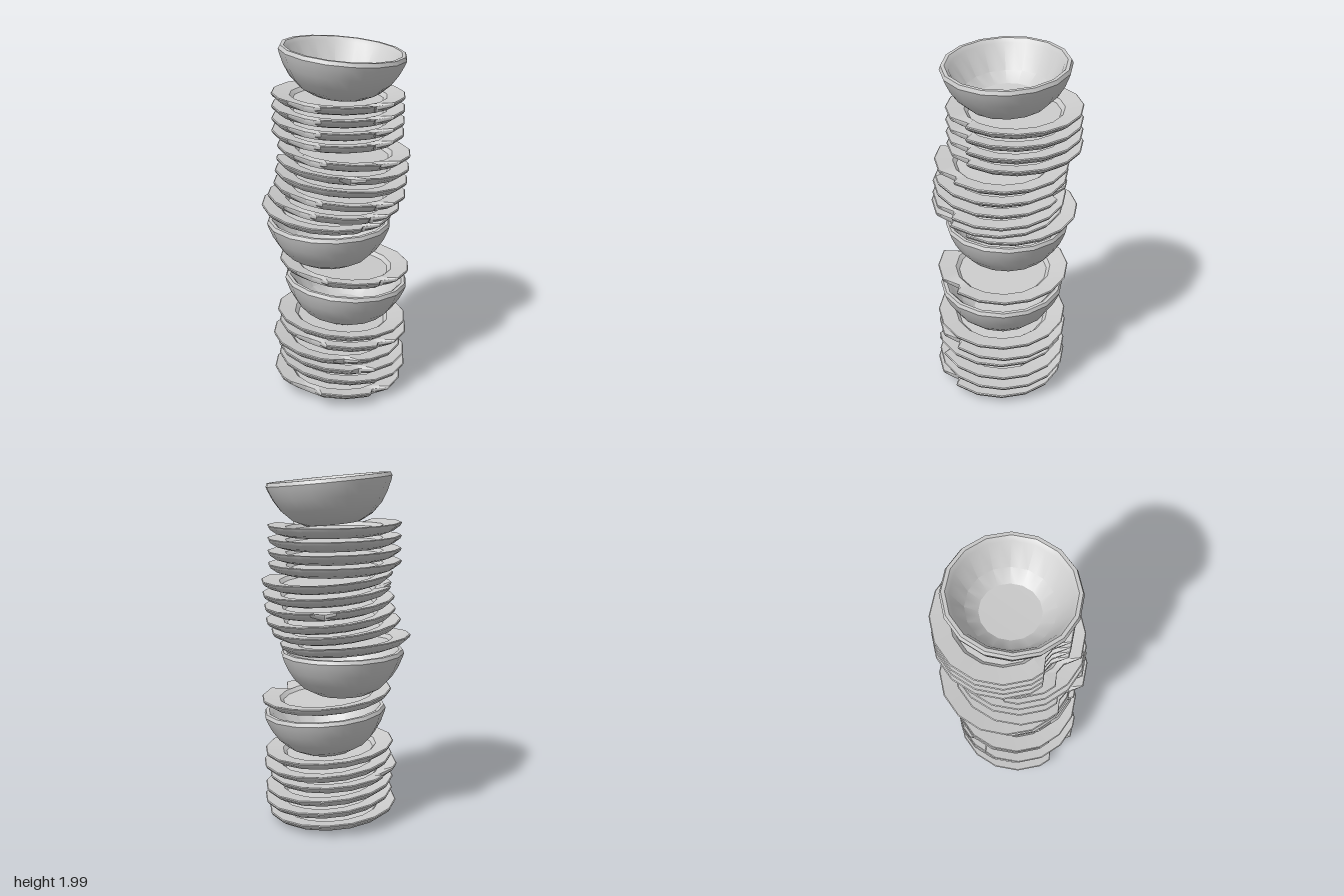
import * as THREE from 'three';
import { toCreasedNormals } from 'three/addons/utils/BufferGeometryUtils.js';

const COLUMNS = 32; // 16 flat sides, each split in the middle so that chips can be narrow
const material = new THREE.MeshStandardMaterial({ color: 0xcccccc });

// Profiles run from the underside centre, out to the rim, and back to the inside centre; rim is at y = 0
const plateProfile = [
  [0, -0.062], [0.275, -0.062], [0.325, -0.046], [0.362, -0.02], [0.371, -0.004],
  [0.366, 0], [0.27, -0.014], [0.25, -0.034], [0, -0.036],
];
const bowlProfile = [
  [0, -0.25], [0.155, -0.25], [0.225, -0.214], [0.28, -0.16], [0.318, -0.1], [0.342, -0.045],
  [0.35, -0.02], [0.341, 0], [0.322, 0], [0.302, -0.02],
  [0.23, -0.15], [0.16, -0.195], [0, -0.2],
];

// Turned dish; each chipped column has its rim broken back and down
function dishGeometry(profile, chips = []) {
  const geo = new THREE.LatheGeometry(profile.map(([r, y]) => new THREE.Vector2(r, y)), COLUMNS);
  const pos = geo.attributes.position;
  for (let i = 0; i < pos.count; i++) {
    const column = Math.floor(i / profile.length) % COLUMNS;
    const [r, y] = profile[i % profile.length];
    const chipped = chips.includes(column) && r > 0.29;
    const flat = column % 2 ? Math.cos(Math.PI / 16) : 1;
    const scale = chipped ? (0.29 + (r - 0.29) * 0.12) / r : flat;
    const drop = chipped ? (r - r * scale) * 0.35 : 0;
    pos.setXYZ(i, pos.getX(i) * scale, y - drop, pos.getZ(i) * scale);
  }
  return toCreasedNormals(geo, 0.5);
}

// One broad break at the front right and a small one near the front centre
const worn = [26, 27, 1];

// Each row: rim height, x, z, slope along x, slope along z, chipped columns
const plates = [
  [0.088, -0.01, 0.04, -0.075, -0.02, worn],
  [0.168, 0.02, 0.04, -0.08, -0.02, []],
  [0.237, 0.015, 0.04, -0.08, -0.02, [31]],
  [0.307, -0.015, 0.04, -0.08, -0.02, [30, 18]],
  [0.377, 0.025, 0.04, -0.08, -0.02, worn],
  [0.448, 0.015, 0.04, -0.075, -0.03, []],
  [0.759, 0.035, 0.04, -0.08, -0.03, worn],
  [1.073, -0.03, -0.045, -0.04, -0.075, [1]],
  [1.145, -0.035, 0.04, -0.1, -0.03, worn],
  [1.21, 0, 0.045, -0.1, -0.03, worn],
  [1.284, 0.01, 0.045, -0.09, -0.02, [12]],
  [1.355, 0.02, 0.045, -0.08, -0.02, [30, 20]],
  [1.427, 0.03, 0.04, -0.07, -0.02, worn],
  [1.512, 0.035, -0.033, -0.02, -0.015, worn],
  [1.58, 0.035, -0.03, -0.02, -0.015, worn],
  [1.65, 0.035, -0.03, -0.02, -0.015, worn],
  [1.72, 0.035, -0.03, -0.02, -0.015, worn],
];
const bowls = [
  [0.668, 0.04, 0.05, -0.06, -0.03],
  [1.005, -0.035, -0.018, -0.01, -0.01],
  [1.965, 0.035, 0.02, -0.065, -0.07],
];

export function createModel() {
  const model = new THREE.Group();
  model.name = 'dishStack';

  const place = (name, profile, [y, x, z, slopeX, slopeZ, chips]) => {
    const dish = new THREE.Mesh(dishGeometry(profile, chips), material);
    dish.name = name;
    dish.position.set(x, y, z);
    dish.rotation.set(-slopeZ, 0, slopeX);
    model.add(dish);
  };

  plates.forEach((row, i) => place(`plate${i + 1}`, plateProfile, row));
  bowls.forEach((row, i) => place(`bowl${i + 1}`, bowlProfile, row));
  return model;
}
